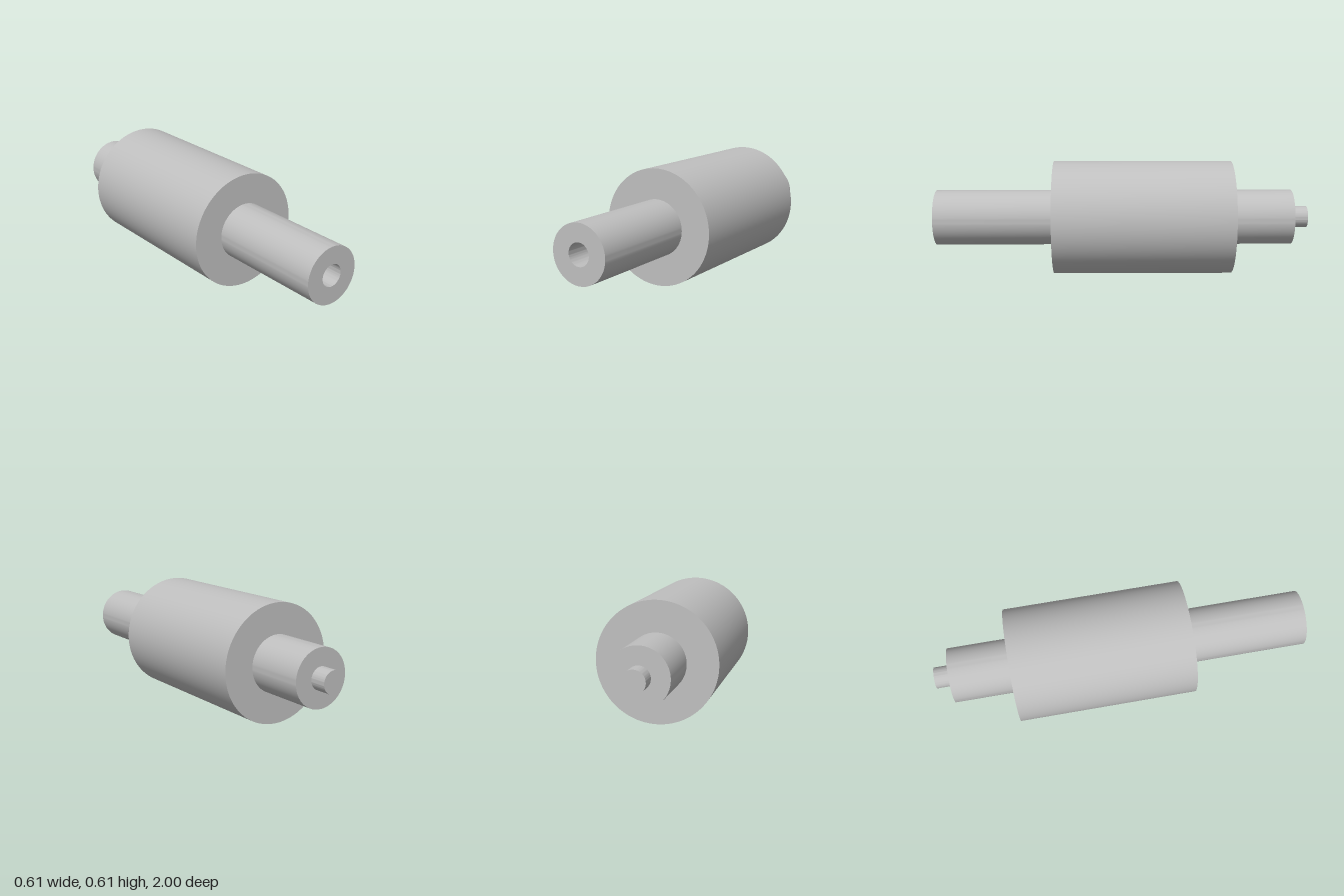
import * as THREE from 'three';
import { toCreasedNormals } from 'three/addons/utils/BufferGeometryUtils.js';

const PIN_R = 0.057, SHAFT_R = 0.147, BODY_R = 0.304;
const BACK = -1, PIN_Z = -0.913, BODY_BACK = -0.585, BODY_FRONT = 0.367, FRONT = 1;
const SOCKET_DEPTH = 0.25;

export function createModel() {
  const group = new THREE.Group();
  group.name = 'steppedRoller';
  const grey = new THREE.MeshStandardMaterial({ color: 0xbfbfbf });
  grey.name = 'grey';

  // Turned part along z; the profile runs [radius, z] from back to front
  const turn = (name, profile) => {
    const points = profile.map(([r, z]) => new THREE.Vector2(r, z));
    const lathe = new THREE.LatheGeometry(points, 96).rotateX(Math.PI / 2);
    const mesh = new THREE.Mesh(toCreasedNormals(lathe, Math.PI / 6), grey);
    mesh.name = name;
    mesh.position.y = BODY_R;
    group.add(mesh);
  };

  turn('backPin', [[0, BACK], [PIN_R, BACK], [PIN_R, PIN_Z]]);
  turn('backShaft', [[PIN_R, PIN_Z], [SHAFT_R, PIN_Z], [SHAFT_R, BODY_BACK]]);
  turn('rollerBody', [
    [SHAFT_R, BODY_BACK], [BODY_R, BODY_BACK], [BODY_R, BODY_FRONT], [SHAFT_R, BODY_FRONT],
  ]);
  // Front shaft with a blind socket matching the pin
  turn('frontShaft', [
    [SHAFT_R, BODY_FRONT], [SHAFT_R, FRONT], [PIN_R, FRONT],
    [PIN_R, FRONT - SOCKET_DEPTH], [0, FRONT - SOCKET_DEPTH],
  ]);
  return group;
}
